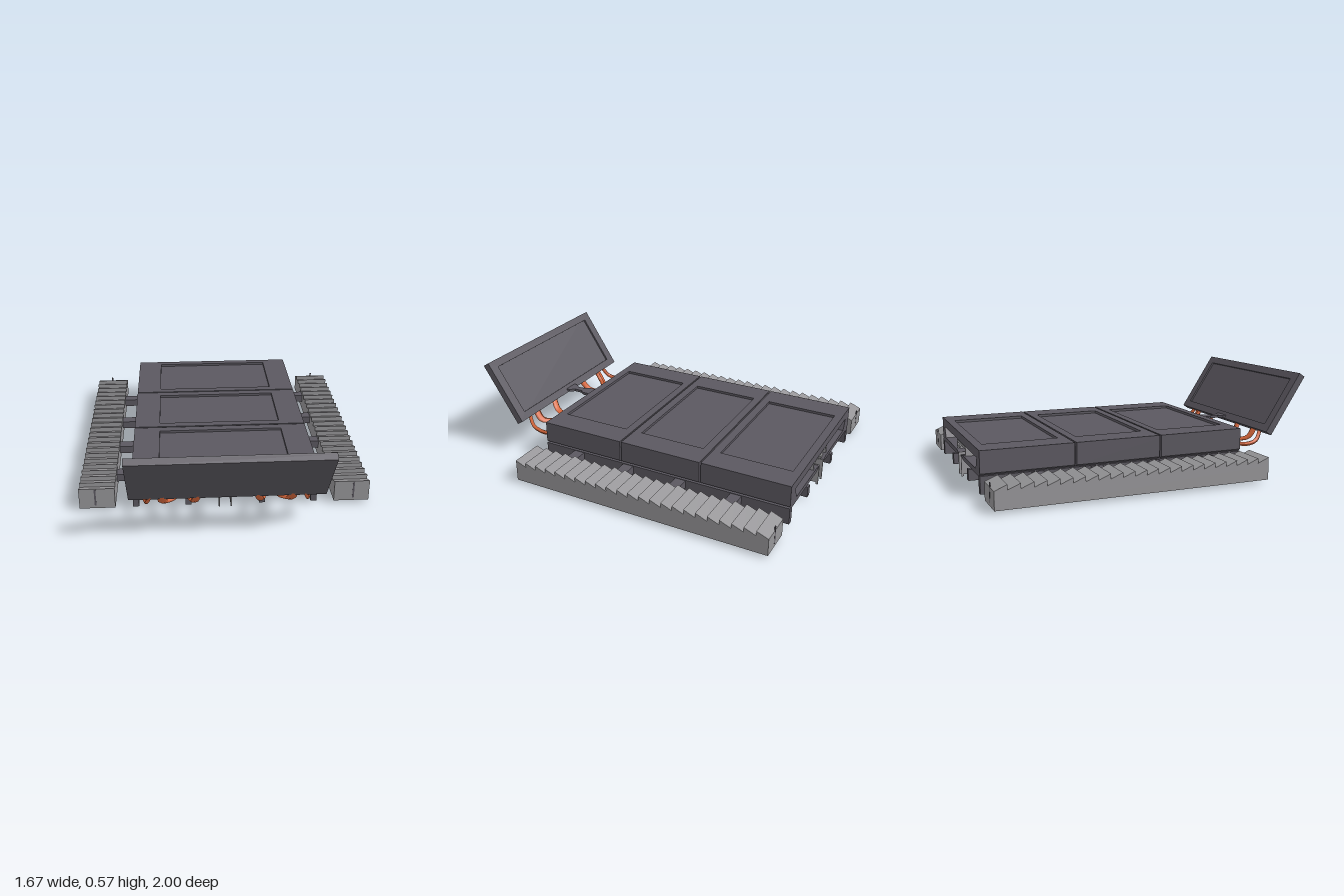
import * as THREE from 'three';

export function createModel() {
  const model = new THREE.Group();
  const mat = (name, color) => {
    const m = new THREE.MeshStandardMaterial({ color });
    m.name = name;
    return m;
  };
  const dark = mat('dark steel', 0x5b5860);
  const grey = mat('light grey', 0x969598);
  const orange = mat('orange hose', 0xd9683c);
  const black = mat('black rubber', 0x121212);

  const add = (name, geo, m, parent = model) => {
    const mesh = new THREE.Mesh(geo, m);
    mesh.name = name;
    parent.add(mesh);
    return mesh;
  };
  // box given by its minimum and maximum on every axis
  const box = (name, m, x0, x1, y0, y1, z0, z1, parent = model) =>
    add(name, new THREE.BoxGeometry(x1 - x0, y1 - y0, z1 - z0)
      .translate((x0 + x1) / 2, (y0 + y1) / 2, (z0 + z1) / 2), m, parent);
  const shapeOf = pts => new THREE.Shape(pts.map(p => new THREE.Vector2(...p)));
  const extrude = (shape, depth) => new THREE.ExtrudeGeometry(shape, { depth, bevelEnabled: false });
  const rect = (w, h) => [[-w, -h], [w, -h], [w, h], [-w, h]];
  // rectangular frame around a shallow recess, lying in xy
  const frame = (w, h, iw, ih, depth) => {
    const s = shapeOf(rect(w, h));
    s.holes.push(new THREE.Path(rect(iw, ih).reverse().map(p => new THREE.Vector2(...p))));
    return extrude(s, depth);
  };

  // deck cross-section: a tunnel open along the bottom centre
  const half = [[0.53, 0.24], [0.53, 0.13], [0.5, 0.11], [0.08, 0.11], [0.04, 0.128],
    [0.08, 0.136], [0.43, 0.138], [0.46, 0.205]];
  const section = shapeOf([...half, ...half.map(([x, y]) => [-x, y]).reverse()].reverse());
  for (const [z0, z1] of [[-1, -0.475], [-0.465, 0.035], [0.045, 0.565]]) {
    const deck = new THREE.Group();
    deck.name = 'deckSection';
    model.add(deck);
    add('deckShell', extrude(section, z1 - z0).translate(0, 0, z0), dark, deck);
    const rim = frame(0.53, (z1 - z0) / 2, 0.375, (z1 - z0) / 2 - 0.048, 0.015);
    add('deckRim', rim.rotateX(-Math.PI / 2).translate(0, 0.24, (z0 + z1) / 2), dark, deck);
  }
  // joints between deck sections
  for (const z of [-0.47, 0.04]) {
    box('deckJointTop', dark, -0.505, 0.505, 0.21, 0.248, z - 0.006, z + 0.006);
    for (const s of [-1, 1])
      box('deckJointSide', dark, s * 0.49 - 0.015, s * 0.49 + 0.015, 0.13, 0.22, z - 0.006, z + 0.006);
  }

  // centre channel running through the tunnel
  box('channelTop', grey, -0.12, 0.12, 0.176, 0.19, -0.99, 0.555);
  box('channelKey', grey, -0.022, 0.022, 0.162, 0.178, -1, 0.565);

  // tilted front panel with a recess on its rear face
  const panel = new THREE.Group();
  panel.name = 'frontPanel';
  panel.position.set(0, 0.3825, 0.869);
  panel.rotation.x = 0.578;
  model.add(panel);
  box('panelPlate', dark, -0.54, 0.54, -0.206, 0.206, -0.01, 0.021, panel);
  add('panelRim', frame(0.54, 0.206, 0.48, 0.16, 0.011).translate(0, 0, -0.021), dark, panel);

  // waisted coupling between deck and panel
  const coupling = [[0.04, 0.56], [0.04, 0.625], [0.02, 0.65], [0.02, 0.7], [0.045, 0.73], [0.045, 0.76]];
  const outline = [...coupling, ...coupling.map(([x, z]) => [-x, z]).reverse()];
  add('coupling', extrude(shapeOf(outline), 0.016).rotateX(Math.PI / 2).translate(0, 0.241, 0), dark);

  // sawtooth profile of the side tracks: each tooth drops towards the rear
  const TEETH = 23, FRONT = 0.565, PITCH = 1.565 / TEETH;
  const saw = [[-1, 0.1], [FRONT, 0.1]];
  for (let i = 0; i < TEETH; i++)
    saw.push([FRONT - i * PITCH, 0.145], [FRONT - (i + 1) * PITCH, 0.117]);

  for (const s of [-1, 1]) {
    const side = new THREE.Group();
    side.name = s > 0 ? 'leftSide' : 'rightSide';
    model.add(side);
    const sideBox = (name, m, x0, x1, ...rest) =>
      box(name, m, Math.min(s * x0, s * x1), Math.max(s * x0, s * x1), ...rest, side);

    // toothed track with open cells underneath
    add('trackTeeth', extrude(shapeOf(saw), 0.204).rotateY(-Math.PI / 2)
      .translate(s > 0 ? 0.835 : -0.631, 0, 0), grey, side);
    for (const x of [0.631, 0.728, 0.825])
      sideBox('trackWall', grey, x, x + 0.01, 0.017, 0.1, -1, FRONT);
    for (let i = 0; i <= TEETH; i++) {
      const z = Math.max(-1, FRONT - i * PITCH - 0.008);
      sideBox('trackCellWall', grey, 0.635, 0.831, 0.017, 0.1, z, z + 0.008);
    }
    for (let i = 0; i < 2; i++)
      sideBox('trackSlot', dark, 0.738, 0.748, 0.035, 0.14, i ? -1.001 : FRONT - 0.004, i ? -0.996 : FRONT + 0.001);

    // long beams and channel leg
    sideBox('outerBeam', dark, 0.495, 0.53, 0.02, 0.118, -1, FRONT);
    sideBox('innerBeam', dark, 0.195, 0.23, 0.02, 0.085, -1, FRONT);
    sideBox('channelLeg', grey, 0.11, 0.12, 0.134, 0.178, -0.99, 0.555);

    // central guide fence in nine plates with small feet
    const step = 1.565 / 9;
    for (let i = 0; i < 9; i++) {
      const z = -1 + i * step;
      sideBox('guidePlate', grey, 0.03, 0.036, 0.012, 0.13, z + 0.002, z + step - 0.002);
    }
    for (let i = 0; i <= 9; i++) {
      const z = Math.min(0.553, Math.max(-1, -1.006 + i * step));
      sideBox('guideFoot', grey, 0.03, 0.038, 0, 0.128, z, z + 0.012);
    }

    // wheel stations
    const tread = [];
    for (let i = 0; i < 28; i++) {
      const r = i % 4 < 2 ? 0.047 : 0.039, a = i * Math.PI * 2 / 28;
      tread.push([r * Math.cos(a), r * Math.sin(a)]);
    }
    for (const z of [-0.69, -0.35, -0.01, 0.33]) {
      sideBox('trackArm', dark, 0.525, 0.635, 0.068, 0.115, z - 0.033, z + 0.033);
      sideBox('wheelMount', dark, 0.45, 0.5, 0.05, 0.1, z - 0.025, z + 0.025);
      add('axle', new THREE.CylinderGeometry(0.014, 0.014, 0.28, 8).rotateZ(Math.PI / 2)
        .translate(s * 0.36, 0.059, z), dark, side);
      add('wheel', extrude(shapeOf(tread), 0.18).rotateY(Math.PI / 2)
        .translate(s * 0.36 - 0.09, 0.059, z), black, side);
    }

    // hoses sagging from the tunnel up to the front panel
    const hose = (name, xs, width) => {
      const pts = [[0.16, 0.53], [0.148, 0.6], [0.14, 0.665], [0.155, 0.73], [0.22, 0.775]]
        .map(([y, z], i) => new THREE.Vector3(xs[i], y, z));
      const geo = new THREE.TubeGeometry(new THREE.CatmullRomCurve3(pts), 14, 0.013, 6);
      // flatten into a strap by widening across its centreline
      const p = geo.attributes.position, curve = new THREE.CatmullRomCurve3(pts);
      for (let i = 0; i < p.count; i++) {
        const c = curve.getPointAt(Math.floor(i / 7) / 14);
        p.setX(i, s * (c.x + (p.getX(i) - c.x) * width));
      }
      const idx = geo.index.array;
      if (s < 0) for (let i = 0; i < idx.length; i += 3) [idx[i], idx[i + 1]] = [idx[i + 1], idx[i]];
      geo.computeVertexNormals();
      add(name, geo, orange, side);
    };
    hose('outerHose', [0.485, 0.475, 0.46, 0.445, 0.42], 0.8);
    hose('middleHose', [0.33, 0.345, 0.3, 0.35, 0.355], 2.1);
    hose('innerHose', [0.222, 0.213, 0.2, 0.183, 0.16], 1.8);
  }
  return model;
}
